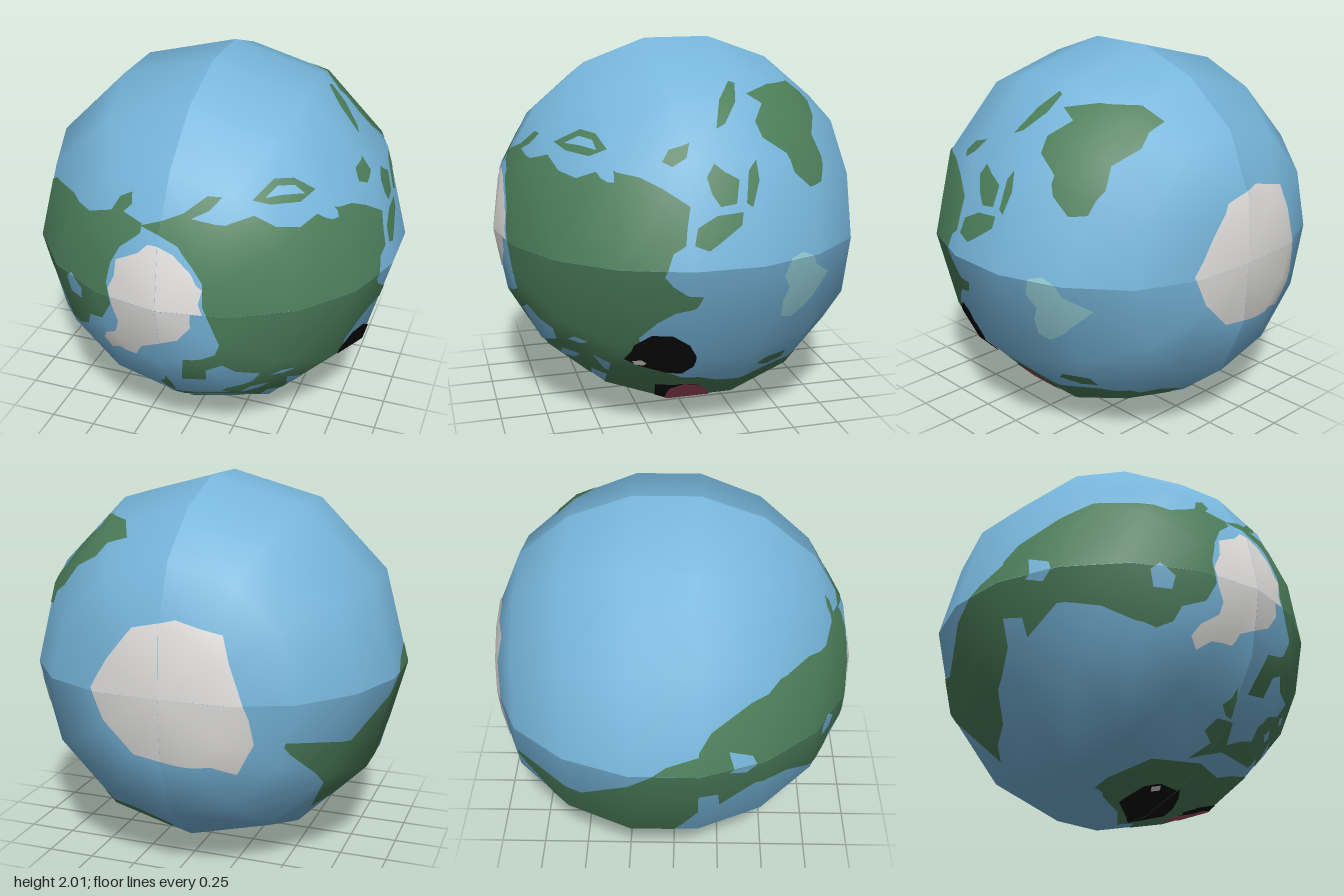
import * as THREE from 'three';
import { mergeVertices, mergeGeometries } from 'three/addons/utils/BufferGeometryUtils.js';

const mat = (name, color) => Object.assign(new THREE.MeshStandardMaterial({ color }), { name });

// One quarter of the low-poly globe; its poles lie on z and its normals are smooth inside the quarter
function quarterGlobe(i) {
  let g = new THREE.SphereGeometry(1.0154, 3, 9, i * Math.PI / 2, Math.PI / 2);
  g.rotateX(Math.PI / 2);
  g.deleteAttribute('uv');
  g.deleteAttribute('normal');
  g.translate(0, 1, -0.045);
  const p = g.attributes.position;
  for (let k = 0; k < p.count; k++) { // flattened south cap
    if (p.getZ(k) < -1.04) p.setZ(k, -0.967);
    else if (p.getZ(k) < -0.95) p.setZ(k, -0.95);
  }
  g = mergeVertices(g, 1e-4);
  g.computeVertexNormals();
  return g;
}

// Which side each facet is painted from, and the plane used for that side
function sideOf(n) {
  if (n.z > 0.6) return 'front';
  if (n.z < -0.7) return 'back';
  if (n.x > 0.15) return 'right';
  if (n.z > 0.2) return 'front';
  return n.y < -0.9 ? 'bottom' : 'left';
}
const planes = {
  front: p => [p.x, p.y], back: p => [p.x, p.y],
  right: p => [p.z, p.y], left: p => [p.z, p.y], bottom: p => [p.x, p.z],
};
const cross = (a, b, c) => (b[0] - a[0]) * (c[1] - a[1]) - (b[1] - a[1]) * (c[0] - a[0]);

// Clip a convex polygon by a counter-clockwise triangle
function clip(poly, tri) {
  for (let e = 0; e < 3 && poly.length; e++) {
    const a = tri[e], b = tri[(e + 1) % 3], out = [];
    poly.forEach((p, i) => {
      const q = poly[(i + 1) % poly.length], dp = cross(a, b, p), dq = cross(a, b, q);
      if (dp >= 0) out.push(p);
      if ((dp > 0 && dq < 0) || (dp < 0 && dq > 0)) {
        const t = dp / (dp - dq);
        out.push([p[0] + (q[0] - p[0]) * t, p[1] + (q[1] - p[1]) * t]);
      }
    });
    poly = out;
  }
  return poly;
}

function listFacets(geo) {
  const facets = [], ix = geo.index, P = geo.attributes.position, N = geo.attributes.normal;
  for (let i = 0; i < ix.count; i += 3) {
    const v = [0, 1, 2].map(k => ({
      p: new THREE.Vector3().fromBufferAttribute(P, ix.getX(i + k)),
      n: new THREE.Vector3().fromBufferAttribute(N, ix.getX(i + k)),
    }));
    const n = new THREE.Triangle(v[0].p, v[1].p, v[2].p).getNormal(new THREE.Vector3());
    const side = sideOf(n);
    v.forEach(w => { w.q = planes[side](w.p); });
    const flip = cross(v[0].q, v[1].q, v[2].q) < 0;
    if (flip) v.reverse();
    facets.push({ v, side, flip });
  }
  return facets;
}

// Lay flat outlines [u, v, u, v, ...] onto the facets of one side as a thin skin
function paint(facets, outlines, lift) {
  const pos = [], nor = [];
  for (const [side, flat] of outlines) {
    const pts = [];
    for (let i = 0; i < flat.length; i += 2) pts.push(new THREE.Vector2(flat[i], flat[i + 1]));
    if (THREE.ShapeUtils.isClockWise(pts)) pts.reverse();
    for (const face of THREE.ShapeUtils.triangulateShape(pts, [])) {
      const piece = face.map(k => [pts[k].x, pts[k].y]);
      for (const f of facets) {
        if (f.side !== side) continue;
        const [a, b, c] = f.v, area = cross(a.q, b.q, c.q);
        if (Math.abs(area) < 1e-7) continue;
        const verts = clip(piece, [a.q, b.q, c.q]).map(q => {
          const w = [cross(b.q, c.q, q) / area, cross(c.q, a.q, q) / area, cross(a.q, b.q, q) / area];
          const mix = key => f.v.reduce((s, o, k) => s.addScaledVector(o[key], w[k]), new THREE.Vector3());
          const n = mix('n').normalize();
          return { n, p: mix('p').addScaledVector(n, lift) };
        });
        if (f.flip) verts.reverse();
        for (let k = 1; k + 1 < verts.length; k++)
          for (const o of [verts[0], verts[k], verts[k + 1]]) { pos.push(...o.p); nor.push(...o.n); }
      }
    }
  }
  const g = new THREE.BufferGeometry();
  g.setAttribute('position', new THREE.Float32BufferAttribute(pos, 3));
  g.setAttribute('normal', new THREE.Float32BufferAttribute(nor, 3));
  return g;
}

export function createModel() {
  const model = new THREE.Group();
  model.name = 'globe';
  const ocean = mat('ocean blue', 0x76b5da), land = mat('land green', 0x4c7e5a), ice = mat('ice white', 0xdedddb);
  const black = mat('black', 0x0a0a0a), pink = mat('mouth pink', 0xa54d66), pale = mat('pale cyan', 0x93ced6);

  const globe = mergeGeometries([0, 1, 2, 3].map(quarterGlobe));
  const facets = listFacets(globe);
  const add = (name, material, geo) => {
    const m = new THREE.Mesh(geo, material);
    m.name = name;
    model.add(m);
  };
  const patch = (name, material, lift, ...outlines) => add(name, material, paint(facets, outlines, lift));
  add('ocean', ocean, globe);

  // Continents
  patch('westernContinent', land, 0.003,
    ['front', [-1.05, 1.05, -0.97, 1.12, -0.92, 1.22, -0.82, 1.33, -0.72, 1.4, -0.55, 1.41, -0.42, 1.38, -0.28, 1.43, -0.24, 1.5,
      -0.18, 1.53, -0.17, 1.48, -0.21, 1.44, -0.1, 1.41, -0.1, 1.37, -0.2, 1.29, -0.25, 1.2, -0.28, 1.08, -0.26, 0.96, -0.32, 0.85,
      -0.42, 0.81, -0.45, 0.73, -0.52, 0.69, -0.6, 0.72, -0.72, 0.8, -0.85, 0.83, -0.88, 0.7, -0.91, 0.8, -1.05, 0.86]]);
  patch('southwesternContinent', land, 0.003,
    ['left', [-0.85, 0.81, -0.47, 0.73, -0.25, 0.89, -0.03, 1.05, 0.2, 1.13, 0.2, 0.78, 0.05, 0.55, -0.1, 0.38, -0.31, 0.27,
      -0.51, 0.48, -0.78, 0.73]]);
  patch('easternContinent', land, 0.003,
    ['front', [-0.11, 1.4, 0, 1.44, 0.1, 1.48, 0.2, 1.56, 0.27, 1.56, 0.22, 1.5, 0.14, 1.46, 0.3, 1.44, 0.42, 1.48, 0.52, 1.42,
      0.62, 1.4, 0.68, 1.44, 0.75, 1.4, 0.87, 1.43, 1.1, 1.3, 1.1, 0, 0.6, 0, 0.56, 0.3, 0.45, 0.33, 0.4, 0.27, 0.1, 0.26,
      -0.08, 0.2, -0.02, 0.27, -0.09, 0.31, -0.07, 0.36, 0.03, 0.36, 0.1, 0.29, 0.2, 0.33, 0.28, 0.35, 0.25, 0.4, 0.3, 0.46,
      0.42, 0.5, 0.47, 0.58, 0.36, 0.6, 0.3, 0.66, 0.22, 0.62, 0.2, 0.52, 0.07, 0.5, 0.12, 0.7, 0.22, 0.72, 0.28, 0.75,
      0.31, 0.83, 0.26, 0.97, 0.23, 1.05, 0.23, 1.17, 0.17, 1.26, 0.1, 1.34, 0, 1.38]],
    ['right', [1, 1.5, 0.65, 1.5, 0.55, 1.5, 0.45, 1.45, 0.35, 1.43, 0.25, 1.38, 0.13, 1.3, 0.15, 1.2, 0.16, 1.12, 0.22, 1.08,
      0.26, 0.97, 0.22, 0.92, 0.15, 0.87, 0.07, 0.86, 0.1, 0.8, 0.2, 0.77, 0.28, 0.71, 0.36, 0.62, 0.3, 0.42, 0.15, 0.36,
      0.1, 0.33, 0, 0.31, 1, 0.3]]);
  patch('southernContinent', land, 0.003,
    ['front', [-0.35, -0.1, -0.33, 0.12, -0.25, 0.18, 0, 0.19, 0.2, 0.18, 0.3, 0.21, 0.45, 0.24, 0.6, 0.32, 0.8, 0.3, 0.8, -0.1]],
    ['right', [1, 0.32, 0.02, 0.32, -0.1, 0.27, -0.25, 0.26, -0.45, 0.3, -0.6, 0.31, -0.64, 0.27, -0.6, 0.18, -0.5, 0.12, -0.35, 0.09,
      -0.2, 0.06, -0.05, 0.03, 0.0, -0.05, 1, -0.05]],
    ['bottom', [0.1, -0.2, 0, -0.06, -0.1, 0.05, -0.25, 0.1, -0.35, 0.2, -0.35, 0.5, 0.1, 0.5]]);
  patch('islandContinent', land, 0.003,
    ['right', [-0.25, 1.77, -0.4, 1.8, -0.55, 1.79, -0.65, 1.72, -0.66, 1.62, -0.6, 1.55, -0.63, 1.45, -0.6, 1.34, -0.52, 1.33,
      -0.43, 1.41, -0.4, 1.5, -0.28, 1.58, -0.26, 1.65, -0.33, 1.72]]);

  // Islands
  patch('islands', land, 0.003,
    ['right', [0.24, 1.5, 0.2, 1.55, 0.1, 1.58, 0.13, 1.52, 0.2, 1.48]],
    ['right', [0.04, 1.43, 0, 1.49, -0.05, 1.45, -0.12, 1.41, -0.1, 1.3, -0.02, 1.29, 0.02, 1.35]],
    ['right', [-0.17, 1.45, -0.21, 1.5, -0.22, 1.4, -0.18, 1.28, -0.15, 1.3]],
    ['right', [0.12, 1.12, 0.1, 1.2, 0, 1.25, -0.13, 1.26, -0.12, 1.2, 0, 1.12, 0.05, 1.09]],
    ['right', [-0.05, 1.63, -0.1, 1.75, -0.17, 1.83, -0.2, 1.82, -0.18, 1.74, -0.1, 1.65]],
    ['right', [-0.3, 0.36, -0.35, 0.4, -0.48, 0.4, -0.48, 0.34, -0.38, 0.32]],
    ['front', [0.4, 1.54, 0.47, 1.61, 0.55, 1.6, 0.65, 1.54, 0.6, 1.5, 0.48, 1.51]],
    ['front', [0.67, 1.56, 0.72, 1.56, 0.79, 1.5, 0.72, 1.51]],
    ['front', [0.8, 1.56, 0.87, 1.48, 0.83, 1.48]],
    ['front', [-0.03, 0.38, -0.07, 0.42, -0.03, 0.46, -0.02, 0.51, 0, 0.46, 0.01, 0.37]]);

  // Lakes and inland seas
  patch('lakes', ocean, 0.005,
    ['front', [-0.57, 0.98, -0.53, 1.02, -0.46, 0.96, -0.47, 0.89, -0.55, 0.89]],
    ['front', [-0.92, 1.1, -0.89, 1.05, -0.9, 0.95, -0.94, 0.98]],
    ['front', [0.45, 1.54, 0.49, 1.58, 0.56, 1.57, 0.61, 1.53, 0.52, 1.54]],
    ['front', [0.34, 0.39, 0.4, 0.44, 0.48, 0.43, 0.42, 0.39]],
    ['front', [0.5, 0.53, 0.56, 0.56, 0.62, 0.55, 0.56, 0.52]],
    ['front', [0.54, 0.36, 0.56, 0.45, 0.62, 0.42, 0.6, 0.35]]);

  // Ice caps and the pale shoal
  patch('northIce', ice, 0.005,
    ['front', [0, 1.33, 0.08, 1.3, 0.17, 1.22, 0.2, 1.16, 0.23, 1.14, 0.21, 1.06, 0.23, 1, 0.17, 1, 0.17, 0.92, 0.1, 0.83,
      0.03, 0.8, -0.1, 0.74, -0.14, 0.67, -0.25, 0.67, -0.31, 0.62, -0.35, 0.68, -0.32, 0.74, -0.24, 0.8, -0.22, 0.87,
      -0.25, 0.95, -0.27, 1.05, -0.23, 1.13, -0.22, 1.22, -0.1, 1.28, -0.05, 1.33]]);
  patch('southIce', ice, 0.005,
    ['back', [0.37, 1.02, 0.27, 1.18, 0.14, 1.34, -0.08, 1.39, -0.31, 1.33, -0.35, 1.2, -0.44, 0.93, -0.46, 0.8, -0.37, 0.63,
      -0.25, 0.67, -0.13, 0.66, 0.14, 0.7, 0.3, 0.86]]);
  patch('paleShoal', pale, 0.004,
    ['right', [-0.35, 0.92, -0.38, 1.01, -0.45, 1.03, -0.52, 1, -0.54, 0.95, -0.65, 0.87, -0.6, 0.82, -0.5, 0.72, -0.42, 0.67,
      -0.36, 0.69, -0.36, 0.78, -0.39, 0.85]]);

  // Face
  patch('upperEye', black, 0.006,
    ['right', [0.41, 0.47, 0.38, 0.58, 0.3, 0.64, 0.2, 0.64, 0.12, 0.59, 0.08, 0.52, 0.075, 0.44, 0.12, 0.38, 0.2, 0.38, 0.33, 0.42]]);
  patch('lowerEye', black, 0.006,
    ['right', [0.42, 0.1, 0.3, 0.085, 0.2, 0.065, 0.1, 0.03, 0, 0, -0.02, -0.05, 0.42, -0.05]],
    ['front', [-0.17, 0.06, -0.15, 0.1, -0.1, 0.11, 0, 0.09, 0.15, 0.08, 0.15, -0.1, -0.17, -0.1]],
    ['bottom', [-0.17, 0.3, -0.16, 0.13, -0.05, 0.06, 0.05, -0.02, 0.1, 0.3]]);
  patch('eyeGlints', ice, 0.008,
    ['right', [0.37, 0.46, 0.33, 0.475, 0.3, 0.45, 0.31, 0.43, 0.35, 0.43]],
    ['front', [-0.12, 0.1, -0.09, 0.105, -0.07, 0.09, -0.1, 0.085]]);
  patch('mouth', black, 0.006,
    ['right', [0.22, 0.26, 0.1, 0.27, 0, 0.25, -0.09, 0.15, -0.05, 0.09, 0.15, 0.08, 0.19, 0.12, 0.21, 0.2]]);
  patch('tongue', pink, 0.008,
    ['right', [0.14, 0.24, 0.08, 0.27, 0, 0.25, -0.06, 0.2, -0.1, 0.14, -0.04, 0.085, 0.1, 0.075, 0.15, 0.12, 0.15, 0.19]]);
  return model;
}
